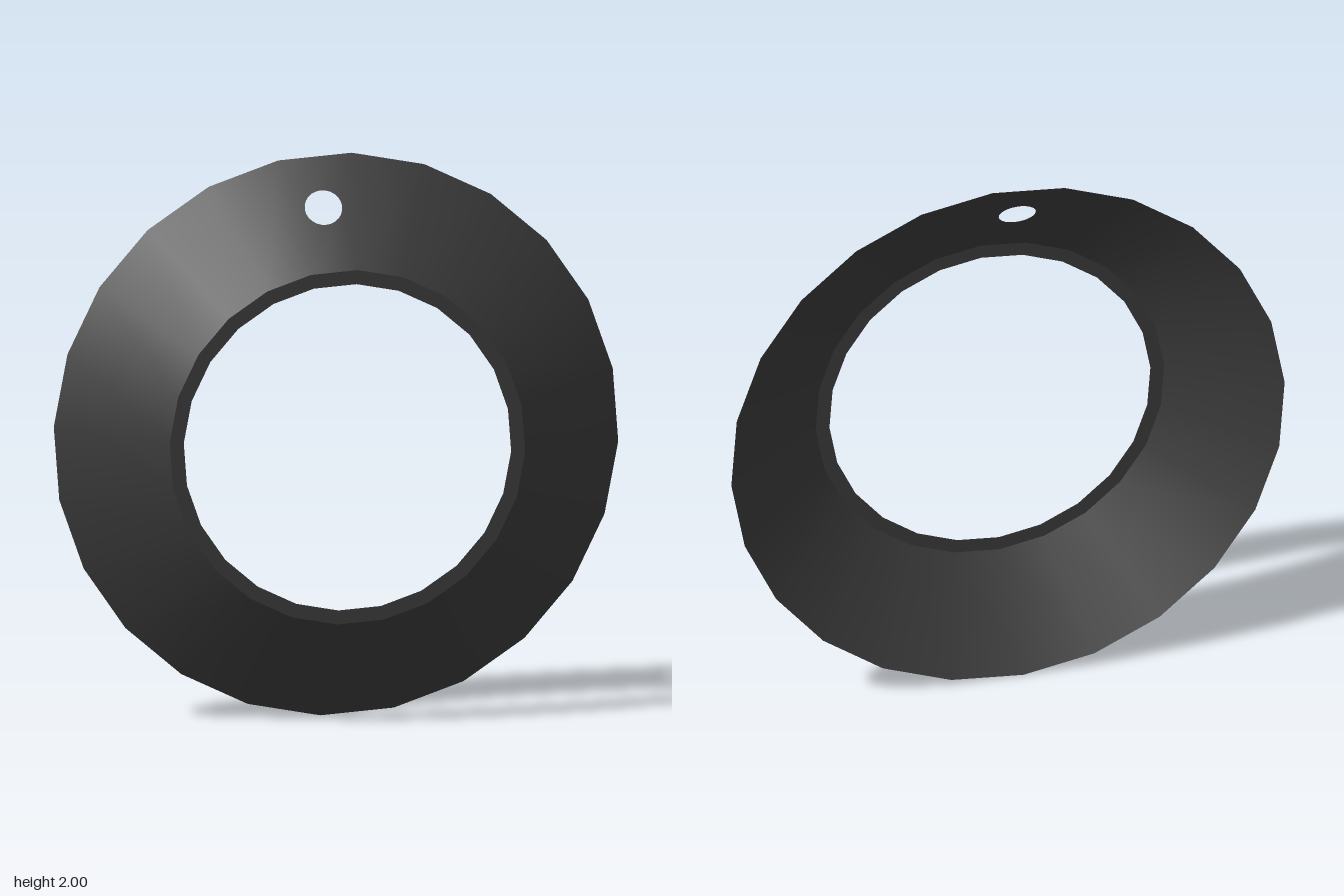
import * as THREE from 'three';
import { mergeGeometries } from 'three/addons/utils/BufferGeometryUtils.js';

const SIDES = 24, STEP = (Math.PI * 2) / SIDES;
const OUTER = 1.0, INNER = 0.63, BORE = 0.58, DEPTH = 0.25;
const ROLL = THREE.MathUtils.degToRad(4.3);

// One trapezoid panel of the conical wall, facing up before it is turned by angle
function panel(angle, pierced) {
  const c = Math.cos(STEP / 2), s = Math.sin(STEP / 2);
  const slant = Math.hypot((OUTER - INNER) * c, DEPTH);
  const shape = new THREE.Shape([
    new THREE.Vector2(-OUTER * s, 0), new THREE.Vector2(OUTER * s, 0),
    new THREE.Vector2(INNER * s, slant), new THREE.Vector2(-INNER * s, slant),
  ]);
  if (pierced) {
    const hole = new THREE.Path();
    hole.absarc(0, slant * 0.44, 0.066, 0, Math.PI * 2, true);
    shape.holes.push(hole);
  }
  const geo = new THREE.ShapeGeometry(shape, 12);
  const pos = geo.attributes.position, nor = geo.attributes.normal;
  const n = new THREE.Vector3();
  for (let i = 0; i < pos.count; i++) {
    const t = pos.getY(i) / slant;
    const x = -pos.getX(i), y = c * (OUTER + (INNER - OUTER) * t);
    pos.setXYZ(i, x, y, DEPTH * t);
    // Smooth cone normal
    n.set(x, y, 0).setLength(DEPTH).setZ(OUTER - INNER).normalize();
    nor.setXYZ(i, n.x, n.y, n.z);
  }
  return geo.rotateZ(angle);
}

export function createModel() {
  const model = new THREE.Group();
  const material = new THREE.MeshStandardMaterial({ color: 0x3a3a3a, side: THREE.DoubleSide });

  const ring = new THREE.Group();
  ring.name = 'conicalRing';
  ring.position.set(0, 1, -0.115);
  ring.rotation.y = -0.068;
  model.add(ring);

  // Thin sloping wall, its top panel pierced by a round hole
  const panels = [];
  for (let i = 0; i < SIDES; i++) panels.push(panel(ROLL + i * STEP, i === 0));
  const wall = new THREE.Mesh(mergeGeometries(panels), material);
  wall.name = 'slopingWall';
  ring.add(wall);

  // Narrow flat lip round the central opening
  const lip = new THREE.Mesh(
    new THREE.RingGeometry(BORE, INNER, SIDES, 1).rotateZ(ROLL + STEP / 2), material);
  lip.name = 'innerLip';
  lip.position.z = DEPTH;
  ring.add(lip);

  return model;
}
